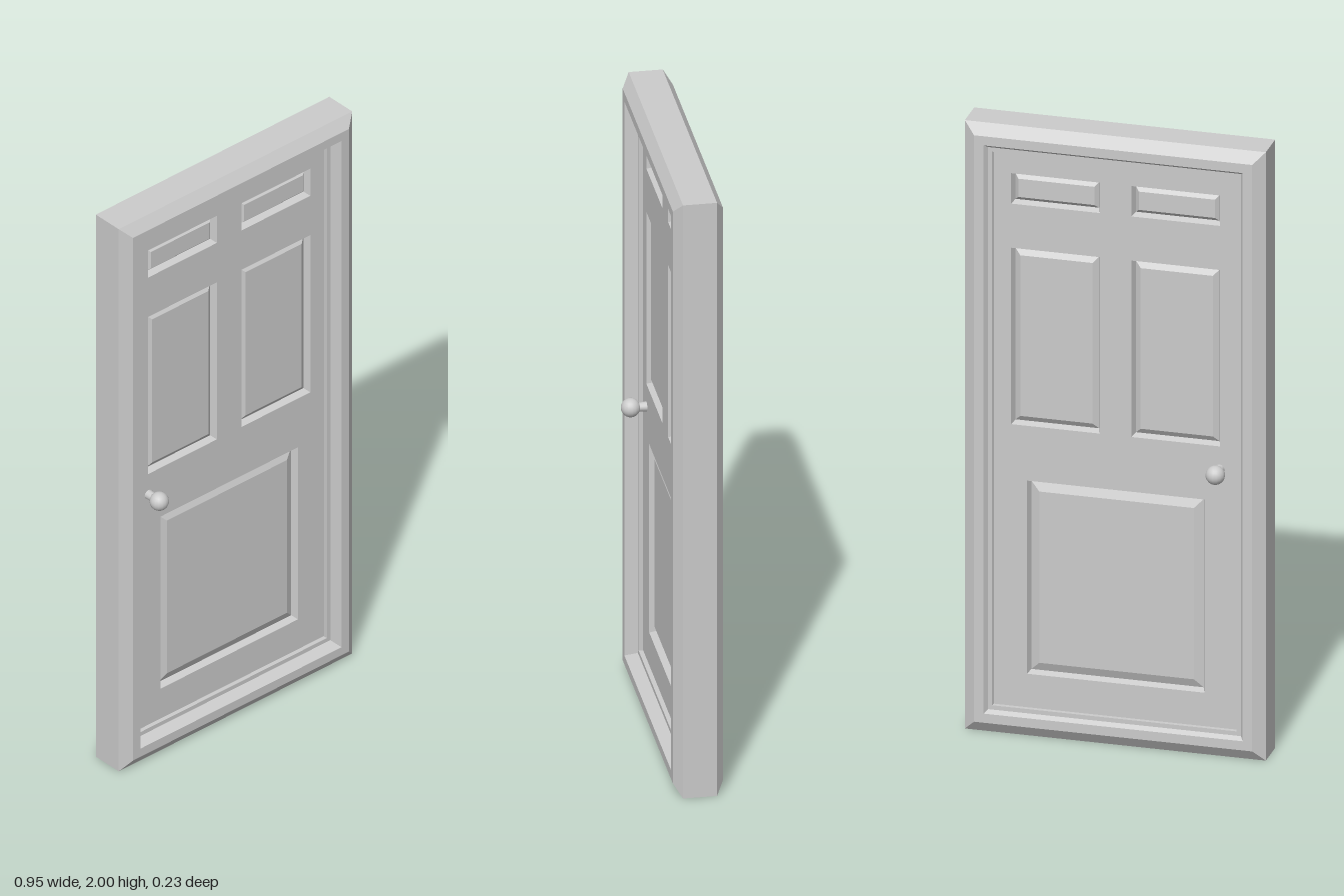
import * as THREE from 'three';

const material = new THREE.MeshStandardMaterial({ color: 0xcccccc, flatShading: true });
const smooth = new THREE.MeshStandardMaterial({ color: 0xcccccc });
const FACE = 0.036; // door face distance from the mid plane

// Mitred rectangular moulding: profile of [inset, z] swept round a rectangle.
// With fill, the last ring is capped by a flat field.
function moulding([x0, x1, y0, y1], profile, fill) {
  const positions = [];
  const rings = profile.map(([d, z]) => [
    [x0 + d, y0 + d, z], [x1 - d, y0 + d, z], [x1 - d, y1 - d, z], [x0 + d, y1 - d, z],
  ]);
  const quad = (a, b, c, d) => positions.push(...a, ...b, ...c, ...a, ...c, ...d);
  for (let r = 0; r < rings.length - 1; r++) {
    for (let i = 0; i < 4; i++) {
      const j = (i + 1) % 4;
      quad(rings[r][i], rings[r][j], rings[r + 1][j], rings[r + 1][i]);
    }
  }
  if (fill) quad(...rings[rings.length - 1]);
  const geometry = new THREE.BufferGeometry();
  geometry.setAttribute('position', new THREE.Float32BufferAttribute(positions, 3));
  geometry.computeVertexNormals();
  return geometry;
}

function rectangle(path, [x0, x1, y0, y1]) {
  path.moveTo(x0, y0);
  path.lineTo(x1, y0);
  path.lineTo(x1, y1);
  path.lineTo(x0, y1);
  path.closePath();
  return path;
}

function add(parent, name, geometry, mat = material) {
  const mesh = new THREE.Mesh(geometry, mat);
  mesh.name = name;
  parent.add(mesh);
  return mesh;
}

// One side of the door leaf: flat face with five sunken, bevelled panels
function doorFace(name) {
  const side = new THREE.Group();
  side.name = name;
  const panels = [
    { name: 'lowerPanel', box: [-0.28, 0.28, 0.2, 0.835], bevel: 0.028 },
  ];
  for (const [x0, x1] of [[-0.33, -0.05], [0.05, 0.33]]) {
    panels.push({ name: 'middlePanel', box: [x0, x1, 1.015, 1.595], bevel: 0.018 });
    panels.push({ name: 'topPanel', box: [x0, x1, 1.74, 1.84], bevel: 0.012 });
  }
  const shape = rectangle(new THREE.Shape(), [-0.385, 0.385, 0.09, 1.91]);
  for (const p of panels) {
    shape.holes.push(rectangle(new THREE.Path(), p.box));
    add(side, p.name, moulding(p.box, [
      [0, FACE], [0.008, FACE - 0.022], [0.008 + p.bevel, FACE - 0.01],
    ], true));
  }
  add(side, 'doorSurface', new THREE.ShapeGeometry(shape)).position.z = FACE;
  return side;
}

// Round knob on a short stem, pointing along +z or -z
function knob(name, direction) {
  const group = new THREE.Group();
  group.name = name;
  const ball = add(group, 'knobBall', new THREE.SphereGeometry(0.03, 16, 12), smooth);
  ball.position.z = direction * 0.085;
  const stem = add(group, 'knobStem', new THREE.CylinderGeometry(0.013, 0.016, 0.04, 12), smooth);
  stem.rotation.x = Math.PI / 2 * direction;
  stem.position.z = direction * 0.052;
  group.position.set(-0.328, 0.94, 0);
  return group;
}

export function createModel() {
  const model = new THREE.Group();
  model.name = 'panelDoor';

  // Frame with chamfered outer edges and a stepped inner stop
  add(model, 'frame', moulding([-0.475, 0.475, 0, 2], [
    [0, -0.04], [0, 0.065], [0.036, 0.09], [0.066, 0.09], [0.076, 0.05], [0.09, 0.05],
    [0.09, -0.05], [0.076, -0.05], [0.066, -0.065], [0.036, -0.065], [0, -0.04],
  ]));

  // Narrow raised lip around the leaf, on both faces
  const leaf = new THREE.Group();
  leaf.name = 'doorLeaf';
  const back = doorFace('doorBack');
  back.rotation.y = Math.PI;
  leaf.add(doorFace('doorFront'), back);
  model.add(leaf);

  model.add(knob('frontKnob', 1), knob('backKnob', -1));
  return model;
}
